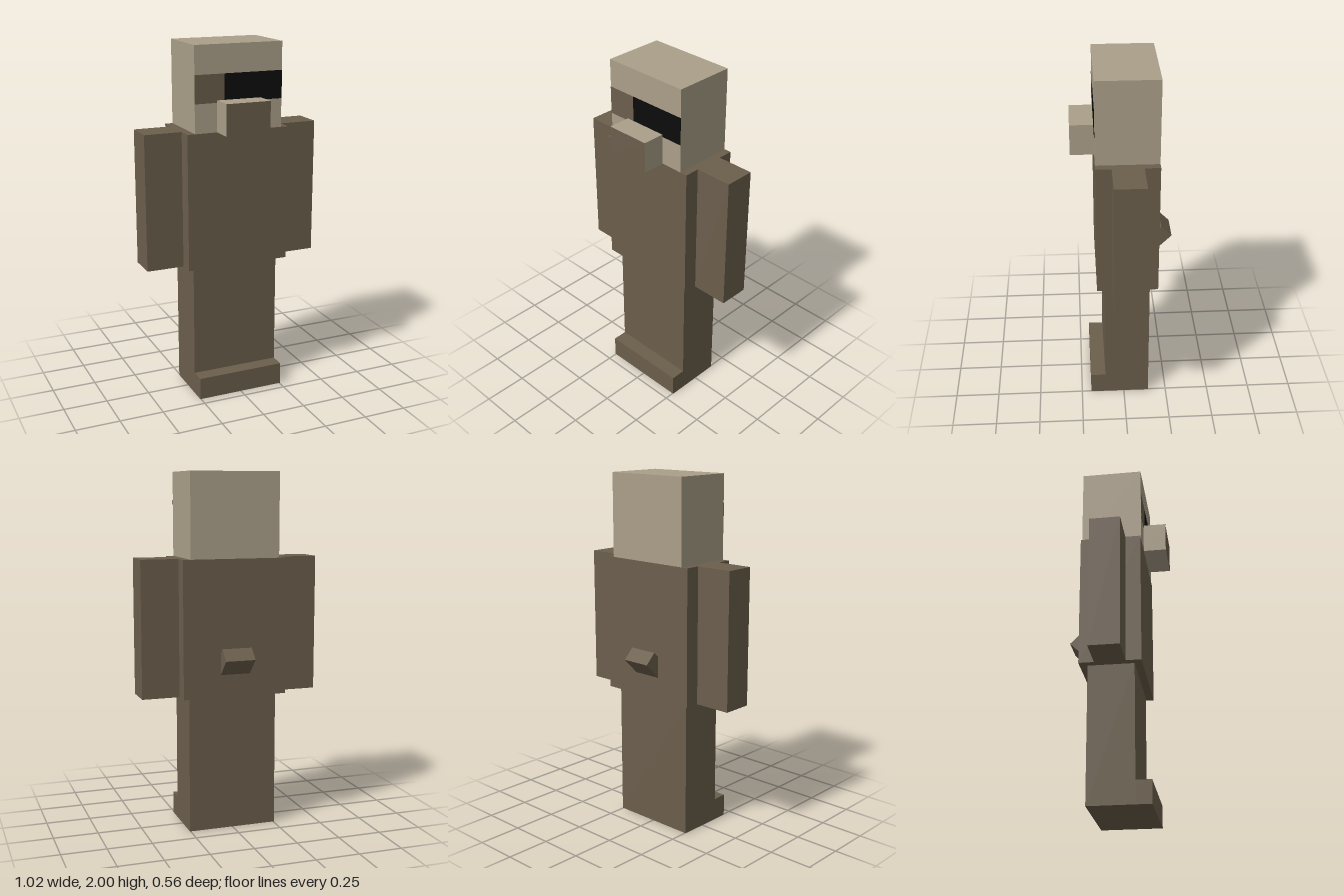
import * as THREE from 'three';

const makeMaterial = (name, color) => {
  const m = new THREE.MeshStandardMaterial({ color });
  m.name = name;
  return m;
};

export function createModel() {
  const model = new THREE.Group();
  model.name = 'blockFigure';
  const lightFur = makeMaterial('lightFur', 0xab9f89);
  const darkFur = makeMaterial('darkFur', 0x6b5e4c);
  const black = makeMaterial('black', 0x0c0c0c);

  // Box given by its lower and upper bounds on each axis
  const box = (name, material, [x0, x1], [y0, y1], [z0, z1]) => {
    const mesh = new THREE.Mesh(new THREE.BoxGeometry(x1 - x0, y1 - y0, z1 - z0), material);
    mesh.position.set((x0 + x1) / 2, (y0 + y1) / 2, (z0 + z1) / 2);
    mesh.name = name;
    model.add(mesh);
    return mesh;
  };

  const back = -0.188, front = 0.152;
  const hip = 0.77, neck = 1.533;

  // Legs and feet
  box('legs', darkFur, [-0.254, 0.254], [0, hip], [-0.145, 0.11]);
  box('feet', darkFur, [-0.254, 0.254], [0, 0.127], [0.11, 0.195]);

  // Torso and arms
  box('torso', darkFur, [-0.297, 0.297], [hip, neck], [back, front]);
  box('leftArm', darkFur, [0.297, 0.509], [hip, neck], [-0.103, 0.067]);
  box('rightArm', darkFur, [-0.509, -0.297], [hip, neck], [-0.103, 0.067]);

  // Stubby tail, tilted up and back out of the torso
  const tail = box('tail', darkFur, [-0.085, 0.085], [0.914, 0.998], [-0.273, -0.103]);
  tail.rotation.x = Math.PI / 4;

  // Head with a thin painted face band
  box('head', lightFur, [-0.254, 0.254], [neck, 2], [back, front]);
  box('cheekPatch', darkFur, [-0.254, -0.085], [1.692, 1.845], [front, front + 0.002]);
  box('eyeBand', black, [-0.085, 0.254], [1.692, 1.845], [front, front + 0.002]);

  // Muzzle: light sides, dark front face (box groups run +x -x +y -y +z -z)
  const sides = [lightFur, lightFur, lightFur, lightFur, darkFur, lightFur];
  box('muzzle', sides, [-0.127, 0.127], [neck, 1.705], [front, 0.28]);

  return model;
}
